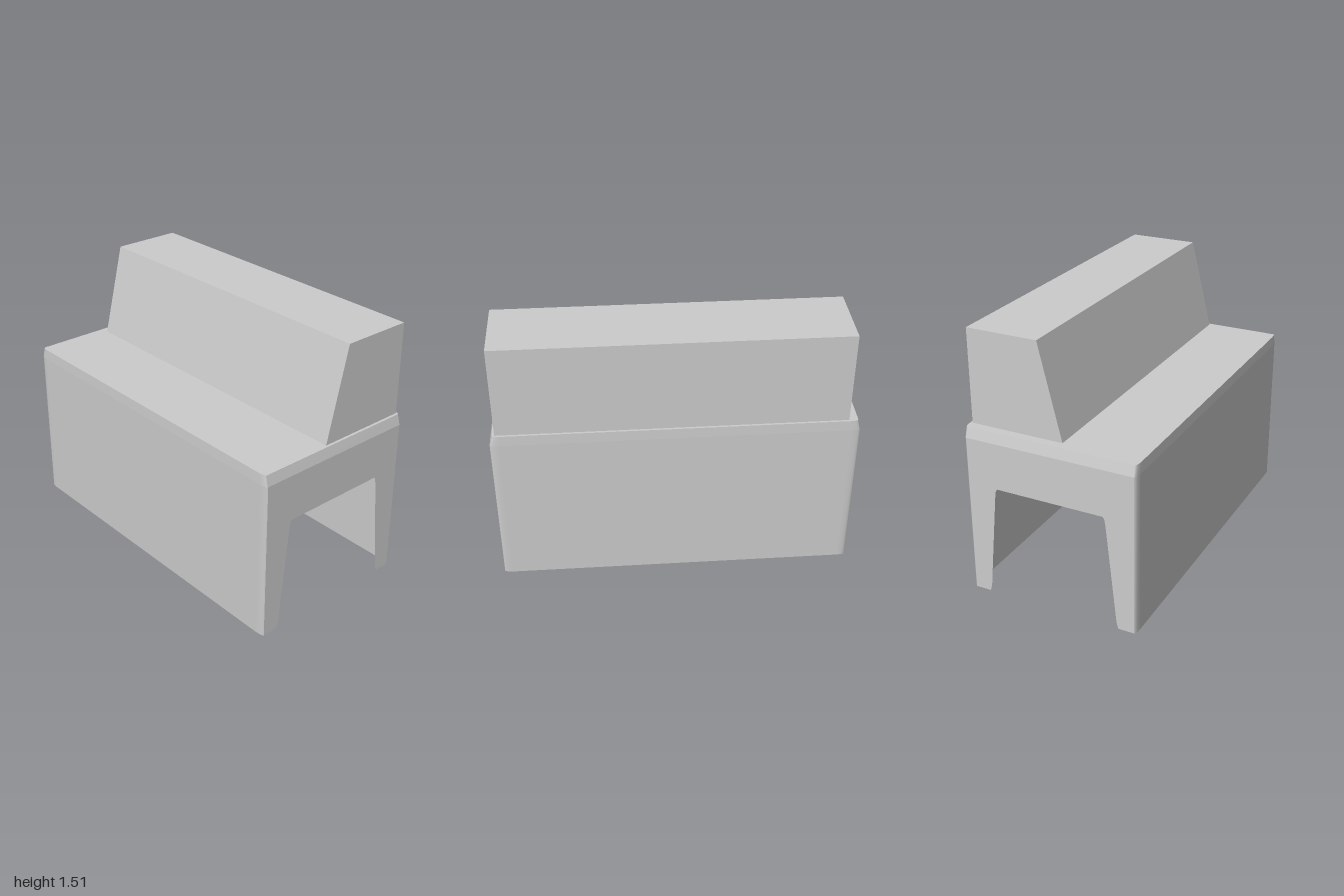
import * as THREE from 'three';

const TOP = 0.98, SHOULDER = 0.92;

// Quarter of the plan outline: softly rounded corner from end to long wall
const CORNER = [[1, 0.487], [0.995, 0.493], [0.98, 0.498], [0.95, 0.5]];

// Long wall path (front when s = 1, back when s = -1), running anticlockwise from above
function wallPath(s, kx = 1, kz = 1) {
  const half = CORNER.map(([x, z]) => [x * kx * s, z * kz * s]);
  return [...half.map(([x, z]) => [-x, z]), ...half.slice().reverse()];
}

// Ribbon between a lower and an upper plan path
function ribbon(low, y0, high, y1, closed) {
  const n = low.length, pos = [], idx = [];
  low.forEach(([x, z], i) => pos.push(x, y0, z, high[i][0], y1, high[i][1]));
  for (let i = 0; i < (closed ? n : n - 1); i++) {
    const a = 2 * i, b = 2 * ((i + 1) % n);
    idx.push(a, b, b + 1, a, b + 1, a + 1);
  }
  const g = new THREE.BufferGeometry();
  g.setAttribute('position', new THREE.Float32BufferAttribute(pos, 3));
  g.setIndex(idx);
  g.computeVertexNormals();
  return g;
}

const toShape = (pts) => new THREE.Shape(pts.map(([x, y]) => new THREE.Vector2(x, y)));

export function createModel() {
  const model = new THREE.Group();
  model.name = 'bench';
  const shell = new THREE.MeshStandardMaterial({ color: 0xcccccc, side: THREE.DoubleSide });
  const solid = new THREE.MeshStandardMaterial({ color: 0xcccccc });
  const add = (name, geometry, material = shell) => {
    const mesh = new THREE.Mesh(geometry, material);
    mesh.name = name;
    model.add(mesh);
    return mesh;
  };

  // Thin front and back walls, wrapping slightly round the corners
  for (const s of [1, -1]) {
    const path = wallPath(s);
    add(s > 0 ? 'frontWall' : 'backWall', ribbon(path, 0, path, SHOULDER, false));
  }

  // Sloping shoulder round the seat edge, and the flat seat
  const outer = [...wallPath(1), ...wallPath(-1)];
  const inner = [...wallPath(1, 0.985, 0.995), ...wallPath(-1, 0.985, 0.995)];
  add('seatShoulder', ribbon(outer, SHOULDER, inner, TOP, true));
  const seat = new THREE.ShapeGeometry(toShape(inner.map(([x, z]) => [x, -z])));
  seat.rotateX(-Math.PI / 2);
  add('seatTop', seat).position.y = TOP;

  // End panels: thin sheets with a tapered arch between two legs
  const arch = [[0.395, 0], [0.385, 0.04], [0.328, 0.6], [0.322, 0.64], [0.313, 0.655]];
  const panel = toShape([
    [-0.487, 0], ...arch.map(([z, y]) => [-z, y]),
    ...arch.slice().reverse(), [0.487, 0], [0.487, SHOULDER], [-0.487, SHOULDER],
  ]);
  for (const s of [1, -1]) {
    const end = add(s > 0 ? 'leftEndPanel' : 'rightEndPanel', new THREE.ShapeGeometry(panel));
    end.rotation.y = s * Math.PI / 2;
    end.position.x = s;
  }

  // Wedge backrest with a sloping front, set slightly towards +x
  const wedge = toShape([[-0.055, TOP], [0.485, TOP], [0.485, 1.51], [0.075, 1.51]]);
  const back = new THREE.ExtrudeGeometry(wedge, { depth: 1.905, bevelEnabled: false });
  back.rotateY(Math.PI / 2);
  add('backrest', back, solid).position.x = -0.935;

  return model;
}
